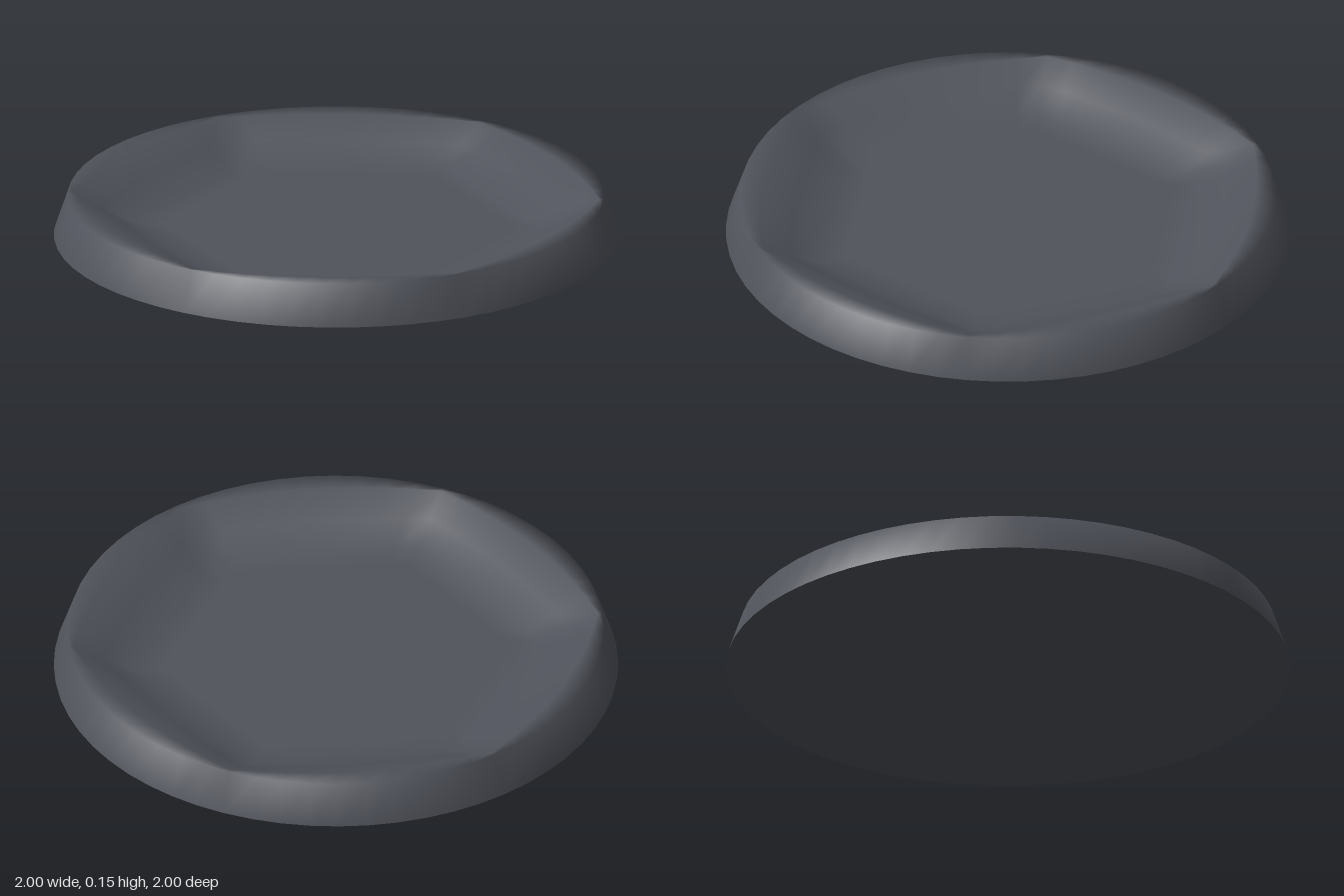
import * as THREE from 'three';

const SEG = 60;

// Radius of a hexagon with corners on the z axis; bulge 0 = straight sides, 1 = circle
function hexRadius(angle, corner, bulge) {
  const step = Math.PI / 3;
  const a = ((angle % step) + step) % step - step / 2;
  const straight = corner * Math.cos(step / 2) / Math.cos(a);
  return straight + (corner - straight) * bulge;
}

// Smooth skin through a list of rings, closed by a centre point
function ringSurface(rings, centreY) {
  const pos = [], index = [];
  for (const { y, r } of rings) {
    for (let i = 0; i < SEG; i++) {
      const a = (i / SEG) * Math.PI * 2;
      pos.push(Math.sin(a) * r(a), y, Math.cos(a) * r(a));
    }
  }
  pos.push(0, centreY, 0);
  const centre = rings.length * SEG;
  for (let k = 0; k < rings.length; k++) {
    for (let i = 0; i < SEG; i++) {
      const a = k * SEG + i, b = k * SEG + (i + 1) % SEG;
      if (k === rings.length - 1) index.push(a, b, centre);
      else index.push(a, b, b + SEG, a, b + SEG, a + SEG);
    }
  }
  const geo = new THREE.BufferGeometry();
  geo.setAttribute('position', new THREE.Float32BufferAttribute(pos, 3));
  geo.setIndex(index);
  geo.computeVertexNormals();
  return geo;
}

export function createModel() {
  const group = new THREE.Group();
  group.name = 'roundDish';
  const material = new THREE.MeshStandardMaterial({ color: 0x50535b });

  // Tapered wall, thin rim, sloping hexagonal recess and flat floor
  const body = new THREE.Mesh(ringSurface([
    { y: 0, r: () => 1 },
    { y: 0.147, r: () => 0.95 },
    { y: 0.145, r: (a) => hexRadius(a, 0.935, 0.5) },
    { y: 0.09, r: (a) => hexRadius(a, 0.835, 0.25) },
    { y: 0.035, r: (a) => hexRadius(a, 0.73, 0) },
    { y: 0.035, r: (a) => hexRadius(a, 0.62, 0) },
  ], 0.035), material);
  body.name = 'dishBody';
  group.add(body);

  // Flat underside
  const underside = new THREE.Mesh(new THREE.CircleGeometry(1, SEG), material);
  underside.rotation.x = Math.PI / 2;
  underside.name = 'underside';
  group.add(underside);

  return group;
}
